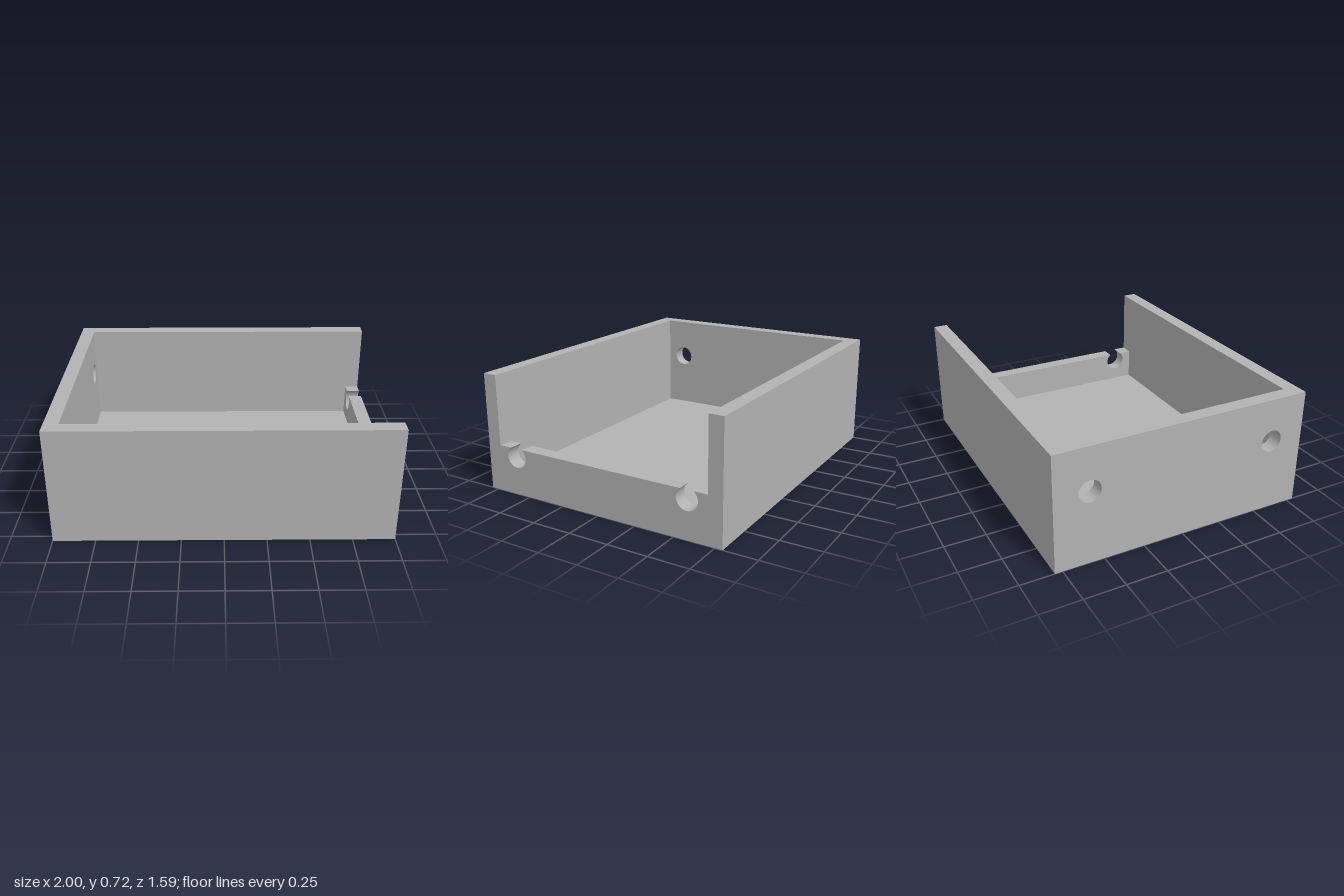
import * as THREE from 'three';
import { toCreasedNormals } from 'three/addons/utils/BufferGeometryUtils.js';

const X = 1, Z = 0.796, H = 0.722; // outer half length, half width, height
const T = 0.088;                   // wall and floor thickness
const HOLE_Z = 0.583, HOLE_R = 0.067;

export function createModel() {
  const group = new THREE.Group();
  const grey = new THREE.MeshStandardMaterial({ color: 0xb2b2b2 });
  grey.name = 'grey';

  const add = (name, geometry, x, y, z) => {
    const mesh = new THREE.Mesh(geometry, grey);
    mesh.name = name;
    mesh.position.set(x, y, z);
    group.add(mesh);
  };

  // Extrudes an end profile through the wall thickness along x
  const endWall = (name, shape, x) => {
    const geometry = new THREE.ExtrudeGeometry(shape, { depth: T, bevelEnabled: false, curveSegments: 40 });
    geometry.rotateY(Math.PI / 2);
    add(name, toCreasedNormals(geometry, 0.5), x, 0, 0);
  };

  // Floor and long side walls, fitted between the end walls
  const inner = 2 * (X - T);
  add('floor', new THREE.BoxGeometry(inner, T, 2 * (Z - T)), 0, T / 2, 0);
  for (const s of [1, -1]) {
    add(s > 0 ? 'frontWall' : 'backWall', new THREE.BoxGeometry(inner, H, T), 0, H / 2, s * (Z - T / 2));
  }

  // Full-height end wall with two round holes
  const full = new THREE.Shape();
  full.moveTo(-Z, 0).lineTo(Z, 0).lineTo(Z, H).lineTo(-Z, H).closePath();
  for (const s of [1, -1]) {
    full.holes.push(new THREE.Path().absarc(s * HOLE_Z, 0.455, HOLE_R, 0, Math.PI * 2, true));
  }
  endWall('holedEndWall', full, -X);

  // Cut-down end wall with two round notches open at the sill
  const sill = 0.29, notchY = 0.237, zi = Z - T;
  const a = Math.asin((sill - notchY) / HOLE_R);
  const low = new THREE.Shape();
  low.moveTo(-Z, 0).lineTo(Z, 0).lineTo(Z, H).lineTo(zi, H).lineTo(zi, sill);
  for (const s of [1, -1]) low.absarc(s * HOLE_Z, notchY, HOLE_R, a, Math.PI - a, true);
  low.lineTo(-zi, sill).lineTo(-zi, H).lineTo(-Z, H).closePath();
  endWall('notchedEndWall', low, X - T);

  return group;
}
